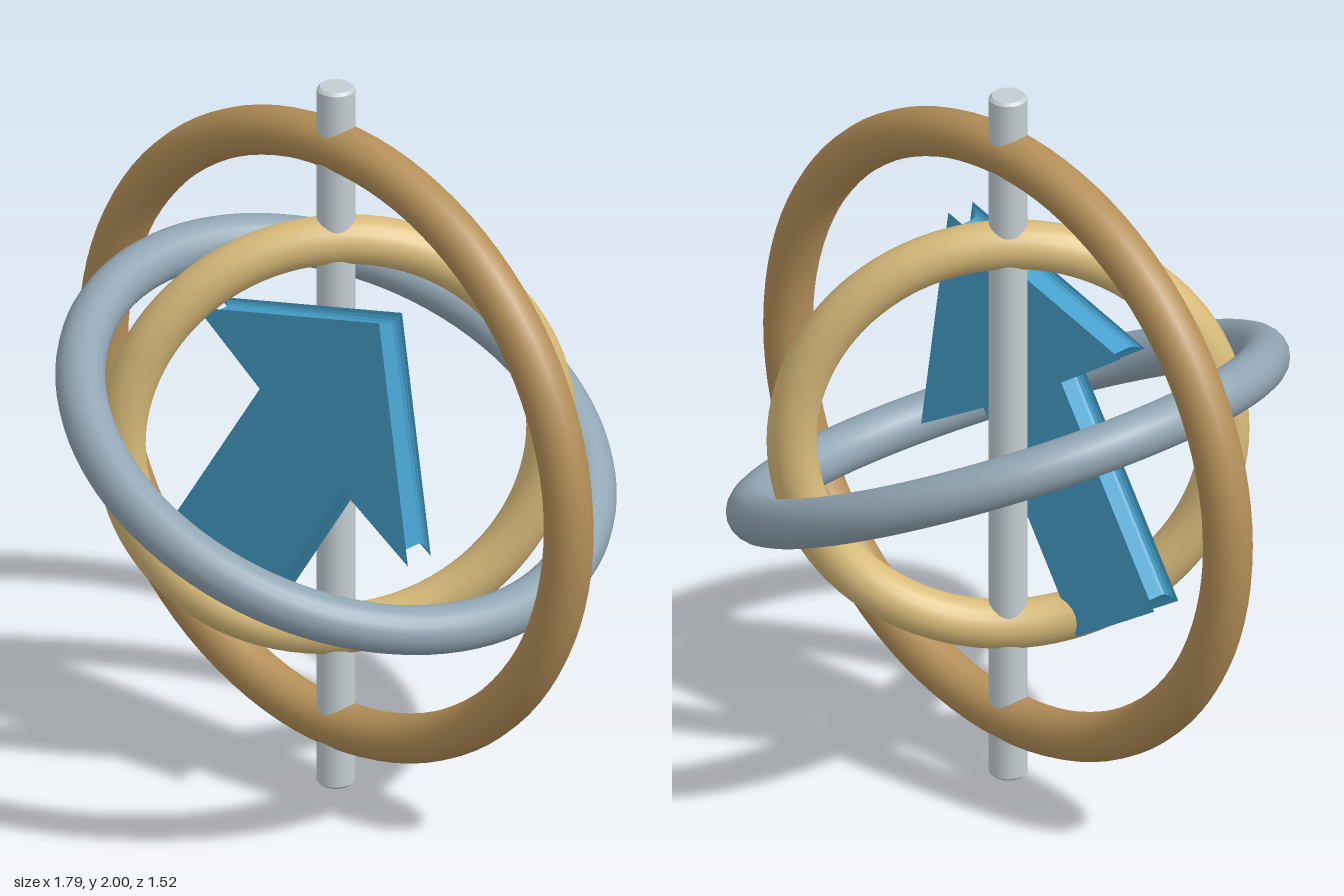
import * as THREE from 'three';

const material = (name, color) => {
  const m = new THREE.MeshStandardMaterial({ color });
  m.name = name;
  return m;
};

export function createModel() {
  const model = new THREE.Group();
  model.name = 'gyroscope';
  const bronze = material('bronze', 0xb48f58);
  const steel = material('steel grey', 0x91a5b3);
  const brass = material('pale brass', 0xd9bb7a);
  const silver = material('silver', 0xc4ced2);
  const blue = material('blue', 0x46a2ce);
  const tube = 0.065, centreY = 1;

  const add = (name, geometry, mat) => {
    const mesh = new THREE.Mesh(geometry, mat);
    mesh.name = name;
    model.add(mesh);
    return mesh;
  };

  // Three nested rings around a common centre
  const ring = (name, radius, mat) => {
    const mesh = add(name, new THREE.TorusGeometry(radius, tube, 20, 96), mat);
    mesh.position.y = centreY;
    return mesh;
  };
  ring('outerRing', 0.83, bronze);
  const middle = ring('middleRing', 0.695, steel);
  middle.rotation.set(Math.PI / 2, THREE.MathUtils.degToRad(25.3), 0, 'ZYX');
  // Lay the ring flat, then tip its left side down
  middle.rotation.set(Math.PI / 2, 0, THREE.MathUtils.degToRad(-25.3), 'ZYX');
  ring('innerRing', 0.56, brass).rotation.y = THREE.MathUtils.degToRad(50);

  // Vertical axle with slightly chamfered ends
  const r = 0.05, c = 0.008;
  const rod = add('axle', new THREE.CylinderGeometry(r, r, 2 - 2 * c, 24, 1, true), silver);
  rod.position.y = centreY;
  for (const s of [1, -1]) {
    const end = add(s > 0 ? 'axleTop' : 'axleBottom',
      new THREE.CylinderGeometry(s > 0 ? r - c : r, s > 0 ? r : r - c, c, 24), silver);
    end.position.y = centreY + s * (1 - c / 2);
  }

  // Arrow, drawn pointing up with its tip at the origin, with scooped edges
  const half = [[0.45, -0.5], [0.175, -0.51], [0.175, -1.15]];
  const outline = [
    [0, 0],
    ...half.map(([x, y]) => [-x, y]),
    ...half.slice().reverse(),
  ].map(([x, y]) => new THREE.Vector2(x, y));
  const arrow = add('arrow', new THREE.ExtrudeGeometry(new THREE.Shape(outline), {
    depth: 0.046, bevelEnabled: true, bevelThickness: 0.02, bevelSize: -0.03, bevelSegments: 4,
  }), blue);
  arrow.rotation.z = THREE.MathUtils.degToRad(-33.2);
  arrow.position.set(0.323, 1.489, 0.112);

  return model;
}
